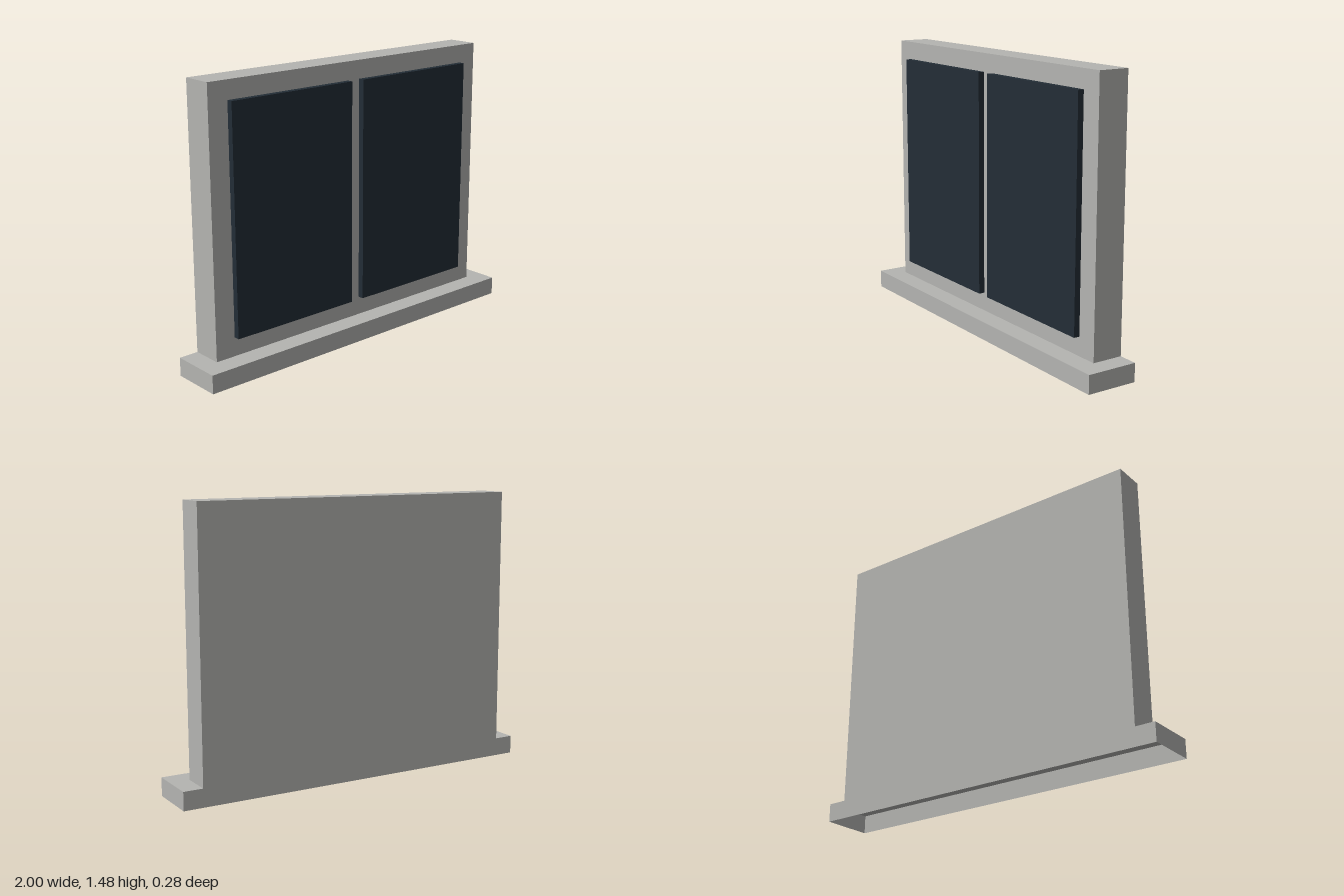
import * as THREE from 'three';

const stone = new THREE.MeshStandardMaterial({ color: 0xb4b4b1, side: THREE.DoubleSide });
stone.name = 'pale stone';
const glass = new THREE.MeshStandardMaterial({ color: 0x232d36 });
glass.name = 'dark glass';

// Box spanning two corners; openBottom leaves out the underside
function box(name, [x0, y0, z0], [x1, y1, z1], material, openBottom = false) {
  const geometry = new THREE.BoxGeometry(x1 - x0, y1 - y0, z1 - z0);
  if (openBottom) {
    const index = Array.from(geometry.index.array);
    index.splice(18, 6); // the fourth side is the underside
    geometry.setIndex(index);
    geometry.clearGroups();
  }
  const mesh = new THREE.Mesh(geometry, material);
  mesh.position.set((x0 + x1) / 2, (y0 + y1) / 2, (z0 + z1) / 2);
  mesh.name = name;
  return mesh;
}

export function createModel() {
  const group = new THREE.Group();
  group.name = 'window';

  // Hollow sill and the frame slab standing on it, flush at the back
  group.add(box('sill', [-1, 0, -0.138], [1, 0.097, 0.138], stone, true));
  group.add(box('frame', [-0.896, 0.097, -0.138], [0.896, 1.477, 0.028], stone, true));

  // Two panes standing proud of the frame
  group.add(box('leftPane', [0.038, 0.196, 0.028], [0.785, 1.38, 0.06], glass));
  group.add(box('rightPane', [-0.785, 0.196, 0.028], [-0.038, 1.38, 0.06], glass));

  return group;
}
